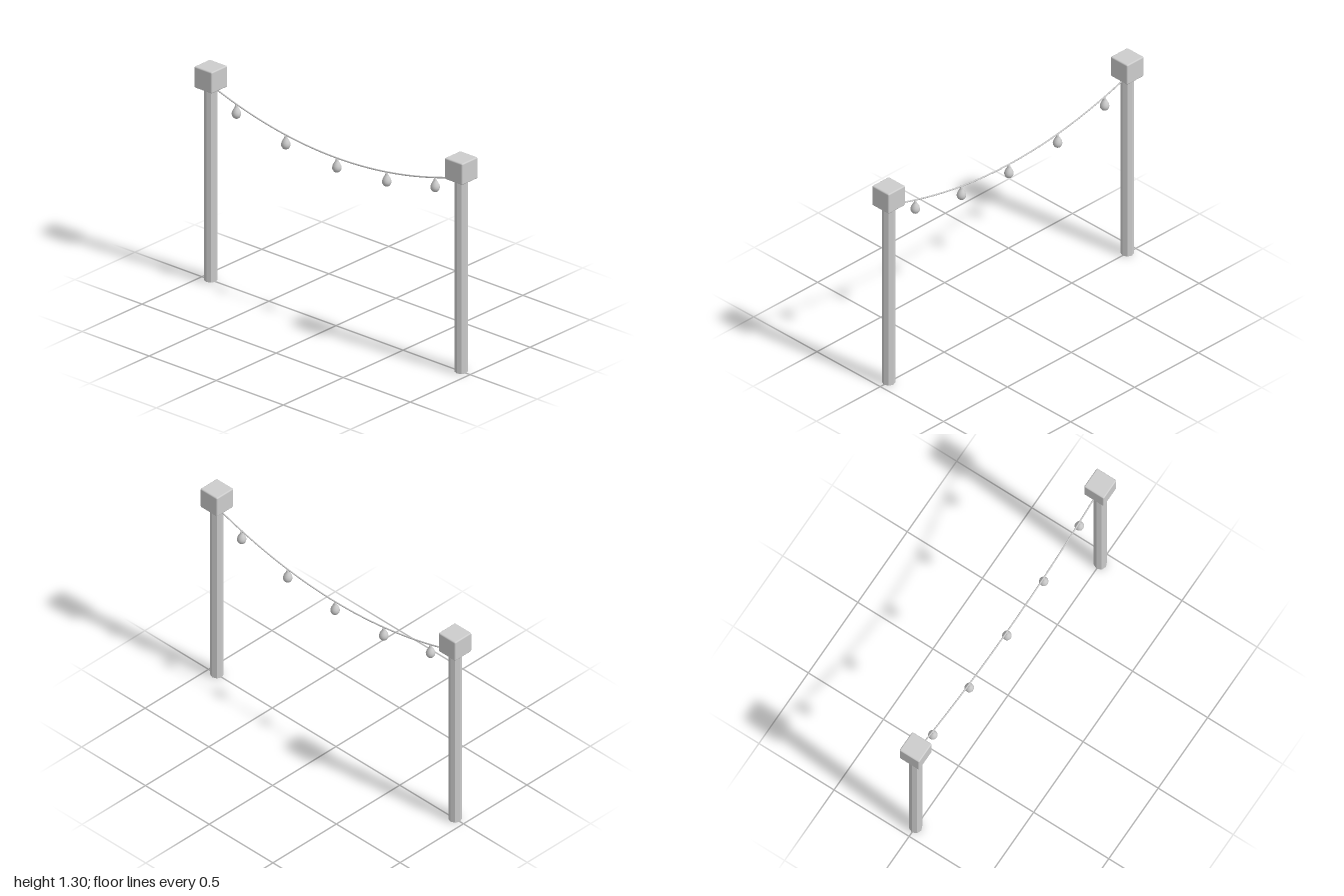
import * as THREE from 'three';
import { RoundedBoxGeometry } from 'three/addons/geometries/RoundedBoxGeometry.js';

const POST_X = 0.934;
const STRING_Z = -0.007;

// Height of the sagging wire at x
const wireY = (x) => 1.02 + 0.186 * x * x;

export function createModel() {
  const model = new THREE.Group();
  model.name = 'stringLights';
  const grey = new THREE.MeshStandardMaterial({ color: 0xcccccc });
  grey.name = 'lightGrey';

  const add = (name, geometry, x, y, z) => {
    const mesh = new THREE.Mesh(geometry, grey);
    mesh.name = name;
    mesh.position.set(x, y, z);
    model.add(mesh);
  };

  // Eight-sided posts with softened cube caps
  const post = new THREE.CylinderGeometry(0.0375, 0.0375, 1.18, 8).toNonIndexed();
  post.computeVertexNormals();
  const cap = new RoundedBoxGeometry(0.132, 0.13, 0.132, 2, 0.008);
  for (const [side, s] of [['left', 1], ['right', -1]]) {
    add(side + 'Post', post, s * POST_X, 0.59, 0);
    add(side + 'Cap', cap, s * POST_X, 1.239, 0);
  }

  // Wire hanging between the posts
  const points = [];
  for (let i = 0; i <= 16; i++) {
    const x = -0.91 + (1.82 * i) / 16;
    points.push(new THREE.Vector3(x, wireY(x), STRING_Z));
  }
  add('wire', new THREE.TubeGeometry(new THREE.CatmullRomCurve3(points), 48, 0.0045, 6), 0, 0, 0);

  // Pear-shaped bulbs, their origin on the wire
  const profile = [
    [0, -0.088], [0.009, -0.086], [0.018, -0.08], [0.025, -0.069], [0.027, -0.057],
    [0.024, -0.044], [0.018, -0.032], [0.012, -0.022], [0.008, -0.014], [0.007, 0], [0, 0],
  ].map(([r, y]) => new THREE.Vector2(r, y));
  const bulb = new THREE.LatheGeometry(profile, 16);
  [-0.749, -0.381, 0, 0.372, 0.733].forEach((x, i) => {
    add('bulb' + (i + 1), bulb, x, wireY(x), STRING_Z);
  });

  return model;
}
